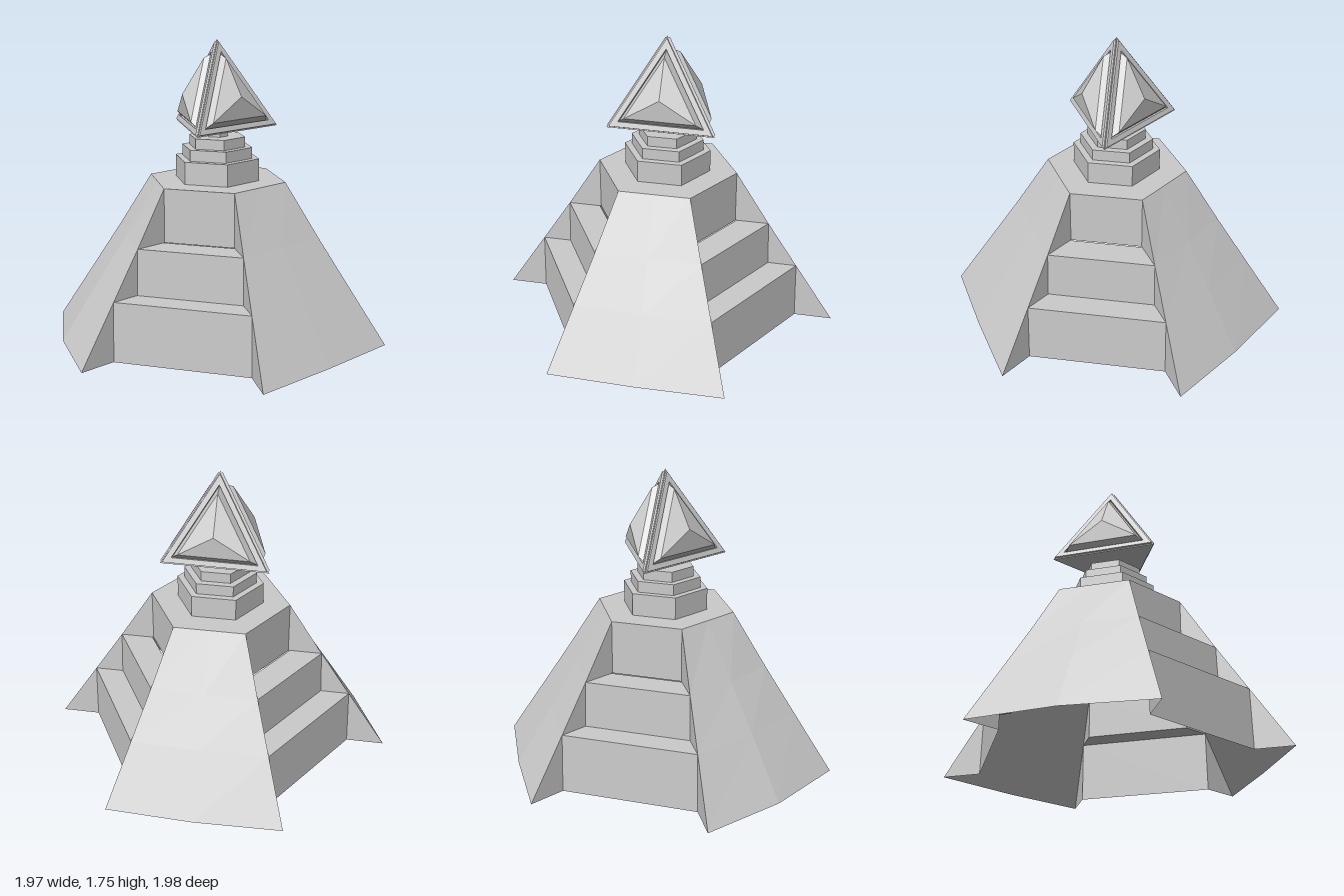
import * as THREE from 'three';

const material = new THREE.MeshStandardMaterial({ color: 0xcccccc, flatShading: true, side: THREE.DoubleSide });
const rad = THREE.MathUtils.degToRad;

// Point at an azimuth (degrees from +x toward +z), radius and height
const polar = (deg, r, y) => new THREE.Vector3(r * Math.cos(rad(deg)), y, r * Math.sin(rad(deg)));

// Flat-shaded mesh from convex polygons, corners counter-clockwise from outside
function polyMesh(name, polygons) {
  const points = [];
  for (const p of polygons) {
    for (let i = 1; i < p.length - 1; i++) points.push(p[0], p[i], p[i + 1]);
  }
  const geometry = new THREE.BufferGeometry().setFromPoints(points);
  geometry.computeVertexNormals();
  const mesh = new THREE.Mesh(geometry, material);
  mesh.name = name;
  return mesh;
}

// Slope profile shared by ramps, side walls and steps
const START = 44.8;
const levels = [[1.022, 0], [0.79, 0.35], [0.612, 0.62], [0.413, 0.935]];

// Sloping ramp, slightly bowed out at the foot
function ramp(a, bow) {
  const b = a + 60;
  const polygons = [];
  const mid = (i) => {
    const [r, y] = levels[i];
    return polar(a + 30, r * Math.cos(rad(30)) + bow * (1 - i / 3), y);
  };
  for (let i = 0; i < 3; i++) {
    const [r0, y0] = levels[i], [r1, y1] = levels[i + 1];
    polygons.push([mid(i), polar(a, r0, y0), polar(a, r1, y1), mid(i + 1)]);
    polygons.push([polar(b, r0, y0), mid(i), mid(i + 1), polar(b, r1, y1)]);
  }
  return polyMesh('ramp', polygons);
}

// Three big steps between two ramps, with the ramps' triangular side walls
function steps(a) {
  const b = a + 60;
  const group = new THREE.Group();
  group.name = 'stairway';
  const stairs = [], walls = [];
  for (let i = 0; i < 3; i++) {
    const [r0, y0] = levels[i], [r1, y1] = levels[i + 1];
    const foot = r1 + (i < 2 ? 0.008 : 0);
    stairs.push([polar(b, foot, y0), polar(a, foot, y0), polar(a, r1, y1), polar(b, r1, y1)]);
    if (i < 2) {
      const r2 = levels[i + 2][0] + 0.008;
      stairs.push([polar(b, r1, y1), polar(a, r1, y1), polar(a, r2, y1), polar(b, r2, y1)]);
    }
    walls.push([polar(a, r0, y0), polar(a, foot, y0), polar(a, r1, y1)]);
    walls.push([polar(b, foot, y0), polar(b, r0, y0), polar(b, r1, y1)]);
  }
  group.add(polyMesh('steps', stairs), polyMesh('rampWalls', walls));
  return group;
}

// Triangular pyramid with a framed, faceted gem set in each side
function capstone() {
  const group = new THREE.Group();
  group.name = 'capstone';
  const apex = new THREE.Vector3(0, 1.75, 0);
  const base = [0, 1, 2].map((k) => polar(16 + 120 * k, 0.362, 1.238));
  const frames = [], gems = [];
  for (let k = 0; k < 3; k++) {
    const tri = [base[(k + 1) % 3], base[k], apex];
    const plane = new THREE.Triangle(...tri);
    const centre = plane.getMidpoint(new THREE.Vector3());
    const normal = plane.getNormal(new THREE.Vector3());
    // Triangle scaled about the face centre and lifted along its normal
    const ring = (s, lift) => tri.map((p) => p.clone().sub(centre).multiplyScalar(s).add(centre).addScaledVector(normal, lift));
    const band = (list, outer, inner) => {
      for (let i = 0; i < 3; i++) {
        const j = (i + 1) % 3;
        list.push([outer[i], outer[j], inner[j], inner[i]]);
      }
    };
    const frameRings = [ring(1, 0), ring(0.965, 0), ring(0.955, 0.01), ring(0.79, 0.01), ring(0.78, -0.008)];
    for (let i = 0; i < 4; i++) band(frames, frameRings[i], frameRings[i + 1]);
    // Gem: steep girdle, then three facets meeting at a point
    const girdle = ring(0.66, 0.038);
    band(gems, frameRings[4], girdle);
    const tip = centre.clone().addScaledVector(normal, 0.09);
    for (let i = 0; i < 3; i++) gems.push([girdle[i], girdle[(i + 1) % 3], tip]);
  }
  group.add(polyMesh('capstoneFrames', frames), polyMesh('gems', gems), polyMesh('capstoneUnderside', [base]));
  return group;
}

export function createModel() {
  const model = new THREE.Group();
  model.name = 'steppedPyramid';

  // Ramps and stairways alternate around the six sides
  [0.01, 0.05, 0.02].forEach((bow, k) => {
    model.add(ramp(START + 120 * k, bow), steps(START + 60 + 120 * k));
  });

  // Flat hexagonal deck
  const [deckR, deckY] = levels[3];
  model.add(polyMesh('deck', [[0, 1, 2, 3, 4, 5].map((k) => polar(START - 60 * k, deckR, deckY))]));

  // Hexagonal tiers and neck under the capstone: radius, bottom, top
  const tiers = [[0.255, 0.93, 1.065], [0.213, 1.065, 1.13], [0.17, 1.13, 1.19], [0.068, 1.19, 1.24]];
  tiers.forEach(([r, y0, y1], i) => {
    const tier = new THREE.Mesh(new THREE.CylinderGeometry(r, r, y1 - y0, 6, 1, false, rad(90 - START)), material);
    tier.position.y = (y0 + y1) / 2;
    tier.name = i < 3 ? 'tier' : 'neck';
    model.add(tier);
  });

  model.add(capstone());
  return model;
}
